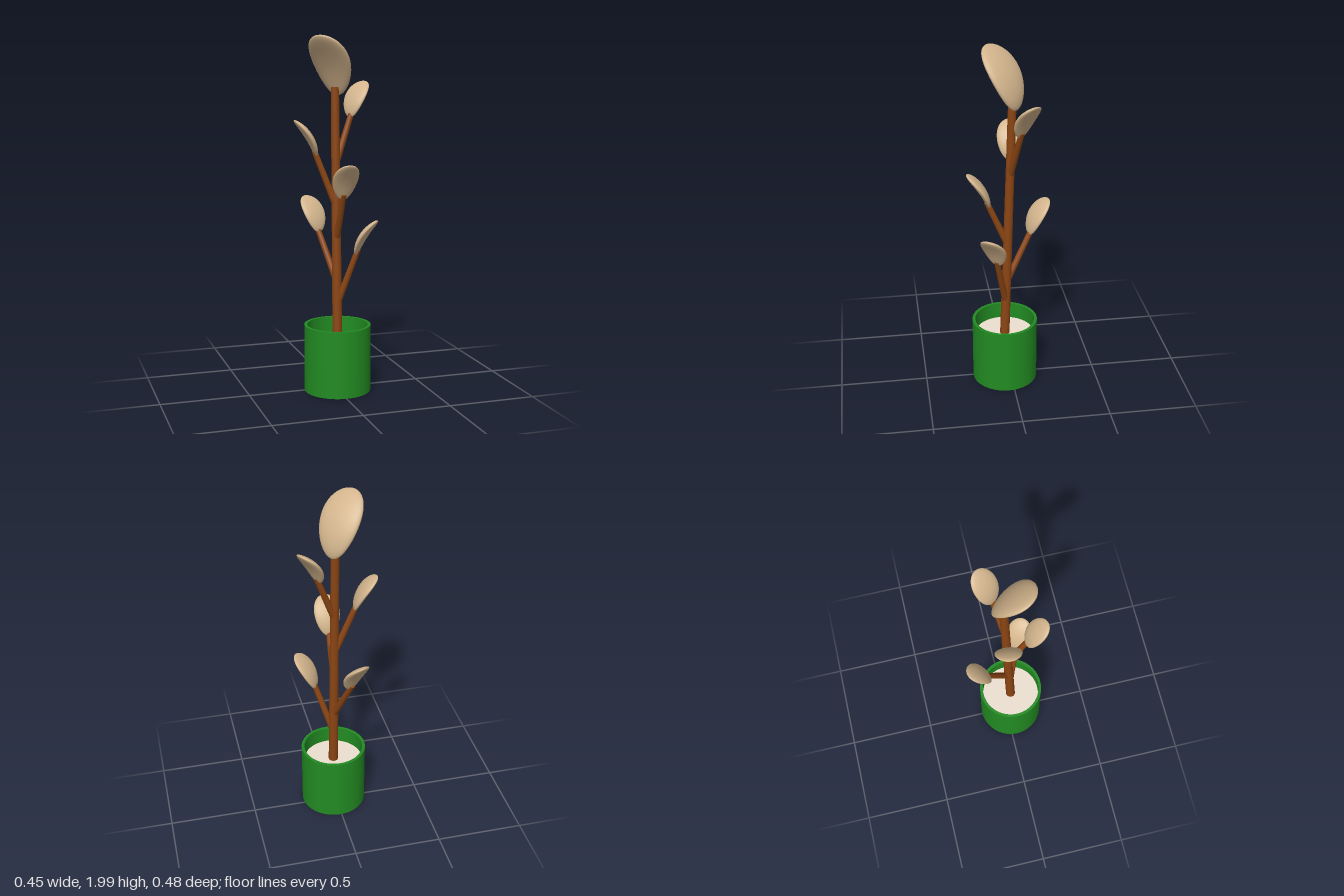
import * as THREE from 'three';

const green = new THREE.MeshStandardMaterial({ color: 0x228b22 });
const brown = new THREE.MeshStandardMaterial({ color: 0x8b4513 });
const tan = new THREE.MeshStandardMaterial({ color: 0xd2b48c });
const sand = new THREE.MeshStandardMaterial({ color: 0xece0d0 });

const POT = { x: 0.007, z: 0.032, r: 0.188, inner: 0.171, h: 0.38, soil: 0.285 };

function part(name, geometry, material) {
  const mesh = new THREE.Mesh(geometry, material);
  mesh.name = name;
  return mesh;
}

// Round rod between two points
function rod(name, from, to, r0, r1) {
  const dir = to.clone().sub(from);
  const mesh = part(name, new THREE.CylinderGeometry(r1, r0, dir.length(), 20), brown);
  mesh.position.copy(from).add(to).multiplyScalar(0.5);
  mesh.quaternion.setFromUnitVectors(new THREE.Vector3(0, 1, 0), dir.normalize());
  return mesh;
}

// Flattened egg bent outward along +x; its base sits at the origin
function leafGeometry() {
  const g = new THREE.SphereGeometry(1, 32, 24);
  const p = g.attributes.position;
  for (let i = 0; i < p.count; i++) {
    const x = p.getX(i), y = p.getY(i), z = p.getZ(i);
    const t = (y + 1) / 2;
    const out = 0.125 * (0.35 * t + 0.65 * t * t);
    const up = 0.2 * (1.2 * t - 0.2 * t * t);
    const slope = Math.atan2(0.125 * (0.35 + 1.3 * t), 0.2 * (1.2 - 0.4 * t));
    const thick = x * 0.021;
    const width = z * 0.072 * (1 + 0.17 * y);
    p.setXYZ(i, out + thick * Math.cos(slope), up - thick * Math.sin(slope), width);
  }
  g.computeVertexNormals();
  // Sphere seam: share normals between its first and last columns
  const n = g.attributes.normal;
  for (let row = 0; row <= 24; row++) {
    const a = row * 33, b = a + 32;
    const v = new THREE.Vector3().fromBufferAttribute(n, a)
      .add(new THREE.Vector3().fromBufferAttribute(n, b)).normalize();
    n.setXYZ(a, v.x, v.y, v.z);
    n.setXYZ(b, v.x, v.y, v.z);
  }
  return g;
}

export function createModel() {
  const model = new THREE.Group();
  model.name = 'pottedPlant';

  // Pot: hollow cylinder with a floor, and the soil inside
  const pot = new THREE.Group();
  pot.name = 'pot';
  pot.position.set(POT.x, 0, POT.z);
  const ring = new THREE.Shape().absarc(0, 0, POT.r, 0, Math.PI * 2);
  ring.holes.push(new THREE.Path().absarc(0, 0, POT.inner, 0, Math.PI * 2, true));
  const wall = part('potWall', new THREE.ExtrudeGeometry(ring,
    { depth: POT.h, bevelEnabled: false, curveSegments: 64 }), green);
  wall.rotation.x = -Math.PI / 2;
  const base = part('potBase', new THREE.CylinderGeometry(POT.inner, POT.inner, 0.02, 64), green);
  base.position.y = 0.01;
  const soil = part('soil', new THREE.CylinderGeometry(POT.inner, POT.inner, 0.26, 64), sand);
  soil.position.y = POT.soil - 0.13;
  pot.add(wall, base, soil);
  model.add(pot);

  // Stem, leaning slightly backward
  const foot = new THREE.Vector3(0.007, 0.27, 0.032);
  const top = new THREE.Vector3(0.006, 1.71, -0.012);
  const stemAt = (y) => foot.clone().lerp(top, (y - foot.y) / (top.y - foot.y));
  model.add(rod('stem', foot, top, 0.028, 0.023));

  // Leaves: base x, y, z, azimuth in degrees (from +x towards +z), branch root height
  const leaf = leafGeometry();
  const addLeaf = (name, pos, azimuth, scale) => {
    const mesh = part(name, leaf, tan);
    mesh.position.copy(pos);
    mesh.rotation.y = -THREE.MathUtils.degToRad(azimuth);
    mesh.scale.setScalar(scale);
    model.add(mesh);
  };
  const branches = [
    [0.098, 0.78, 0.083, 33, 0.49],
    [-0.055, 0.885, -0.118, -112, 0.62],
    [0.01, 1.1, 0.117, 90, 0.86],
    [-0.1, 1.33, -0.015, 187, 1.05],
    [0.104, 1.54, -0.042, -32, 1.28],
  ];
  for (const [x, y, z, azimuth, rootY] of branches) {
    const pos = new THREE.Vector3(x, y, z);
    const root = stemAt(rootY);
    const tip = pos.clone().add(pos.clone().sub(root).setLength(0.035));
    model.add(rod('branch', root, tip, 0.019, 0.016));
    addLeaf('leaf', pos, azimuth, 1);
  }
  addLeaf('topLeaf', new THREE.Vector3(0.028, 1.665, -0.03), 137, 1.62);

  return model;
}
